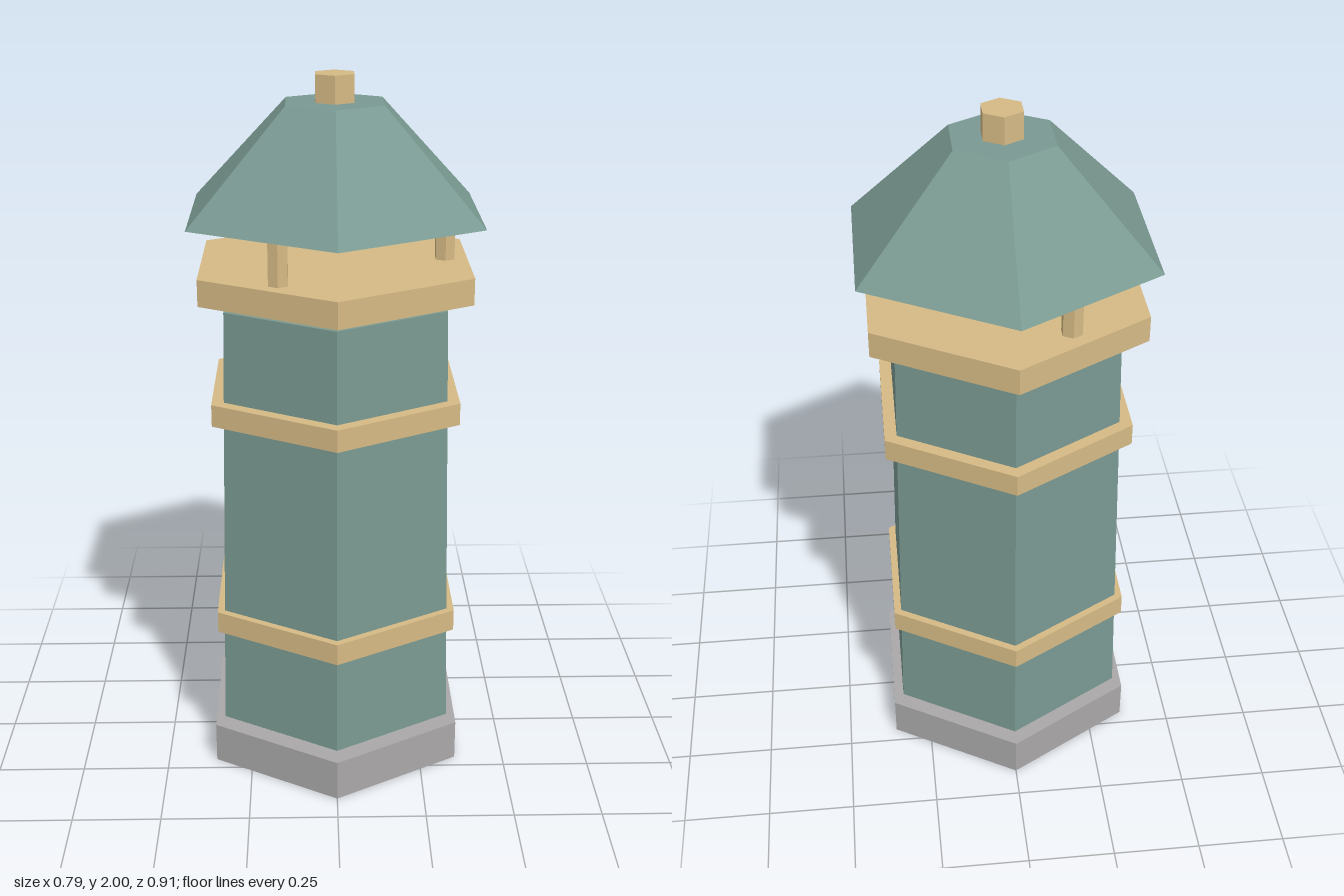
import * as THREE from 'three';

const teal = new THREE.MeshStandardMaterial({ color: 0x7a9a92, flatShading: true });
const tan = new THREE.MeshStandardMaterial({ color: 0xd6ba85, flatShading: true });
const stone = new THREE.MeshStandardMaterial({ color: 0xaaa8a8, flatShading: true });

// Six-sided prism or frustum with corners on the z axis, spanning y0 to y1
function hexPrism(name, material, y0, y1, bottomRadius, topRadius = bottomRadius) {
  const geometry = new THREE.CylinderGeometry(topRadius, bottomRadius, y1 - y0, 6);
  const mesh = new THREE.Mesh(geometry, material);
  mesh.name = name;
  mesh.position.y = (y0 + y1) / 2;
  return mesh;
}

export function createModel() {
  const tower = new THREE.Group();
  tower.name = 'hexagonalTower';

  // Plinth and tapering shaft
  tower.add(hexPrism('base', stone, 0, 0.12, 0.412));
  tower.add(hexPrism('shaft', teal, 0.14, 1.39, 0.38, 0.35));

  // Trim bands around the shaft
  tower.add(hexPrism('lowerBand', tan, 0.43, 0.493, 0.395));
  tower.add(hexPrism('upperBand', tan, 1.07, 1.133, 0.395));

  // Gallery deck
  tower.add(hexPrism('gallery', tan, 1.418, 1.492, 0.426));

  // Three posts carrying the roof
  const posts = new THREE.Group();
  posts.name = 'roofPosts';
  for (let i = 0; i < 3; i++) {
    const angle = (i * Math.PI * 2) / 3;
    const post = hexPrism('roofPost', tan, 1.492, 1.626, 0.03);
    post.position.x = Math.cos(angle) * 0.306;
    post.position.z = Math.sin(angle) * 0.306;
    posts.add(post);
  }
  tower.add(posts);

  // Roof and finial
  tower.add(hexPrism('roof', teal, 1.626, 1.925, 0.455, 0.152));
  tower.add(hexPrism('finial', tan, 1.925, 2, 0.06));

  return tower;
}
